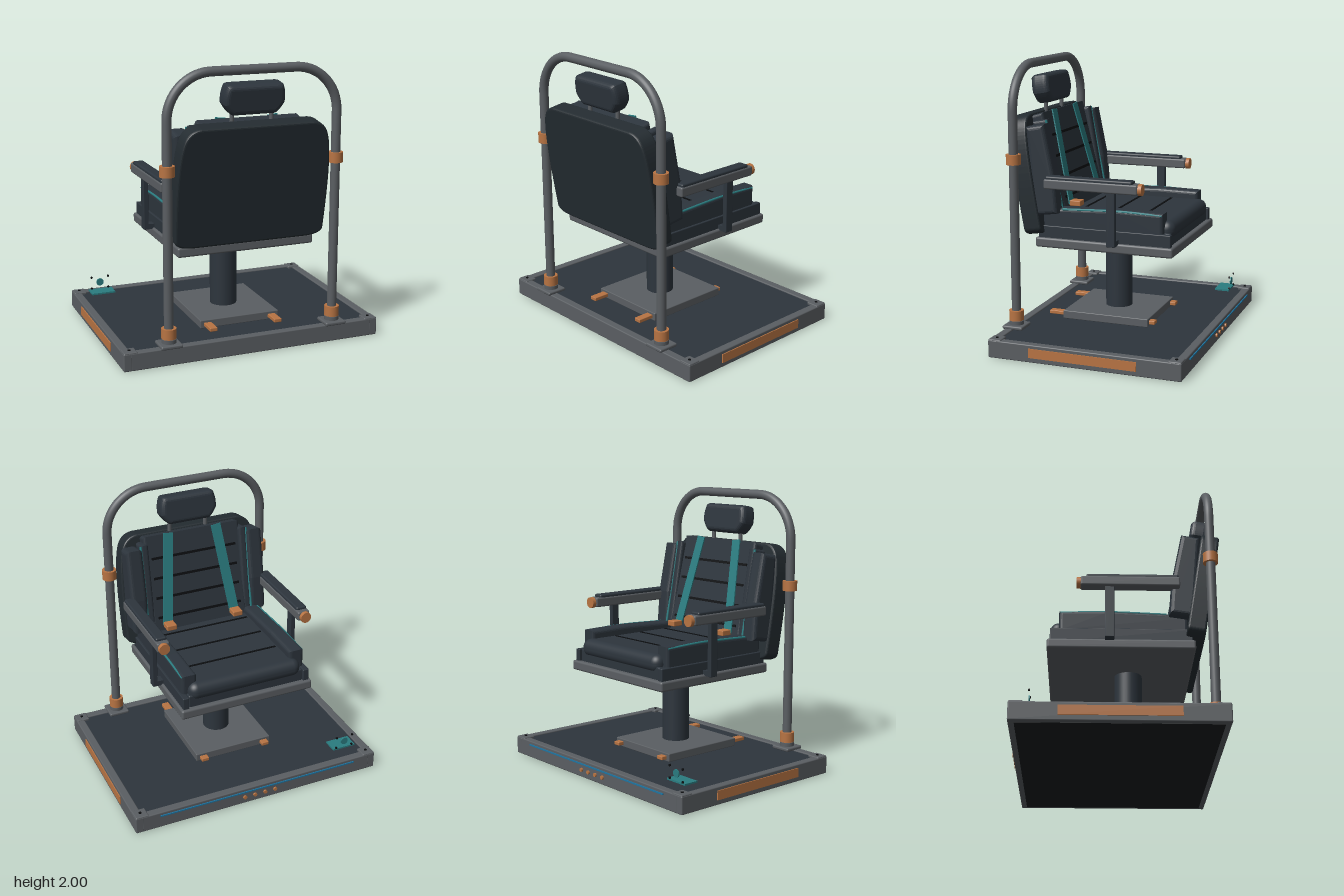
import * as THREE from 'three';
import { RoundedBoxGeometry } from 'three/addons/geometries/RoundedBoxGeometry.js';

const mat = (name, color, side = THREE.FrontSide) => {
  const m = new THREE.MeshStandardMaterial({ color, side });
  m.name = name;
  return m;
};

export function createModel() {
  const model = new THREE.Group();
  model.name = 'simulatorChair';

  const steel = mat('steelGrey', 0x5a5e62);
  const dark = mat('darkUpholstery', 0x2d353d);
  const shellMat = mat('shellDark', 0x242c31);
  const black = mat('black', 0x0c0e10);
  const under = mat('undersideBlack', 0x171c1f);
  const copper = mat('copper', 0xb87443);
  const teal = mat('teal', 0x2a7c80);
  const blue = mat('blueLight', 0x1f74a0);

  const add = (name, geo, m, x = 0, y = 0, z = 0, parent = model) => {
    const mesh = new THREE.Mesh(geo, m);
    mesh.name = name;
    mesh.position.set(x, y, z);
    parent.add(mesh);
    return mesh;
  };
  // box given by its limits on each axis, optionally rounded
  const box = (name, m, [x0, x1], [y0, y1], [z0, z1], r = 0, parent = model) => {
    const s = [x1 - x0, y1 - y0, z1 - z0];
    const geo = r ? new RoundedBoxGeometry(...s, 4, r) : new THREE.BoxGeometry(...s);
    return add(name, geo, m, (x0 + x1) / 2, (y0 + y1) / 2, (z0 + z1) / 2, parent);
  };
  const cyl = (name, m, r, h, x, y, z, alongZ = false) => {
    const geo = new THREE.CylinderGeometry(r, r, h, 32);
    if (alongZ) geo.rotateX(Math.PI / 2);
    return add(name, geo, m, x, y, z);
  };
  // side profile of [z, y] points stretched across a width in x
  const sideProfile = (points, width, bevel) => {
    const shape = new THREE.Shape(points.map(([z, y]) => new THREE.Vector2(z, y)));
    const depth = width - 2 * bevel;
    return new THREE.ExtrudeGeometry(shape, {
      depth, bevelSize: bevel, bevelThickness: bevel, bevelOffset: -bevel, bevelSegments: 4,
    }).translate(0, 0, -depth / 2).rotateY(-Math.PI / 2);
  };

  // base: four rails, deck and underside
  for (const s of [-1, 1]) {
    box('baseSideRail', steel, s > 0 ? [0.89, 0.95] : [-0.95, -0.89], [0, 0.125], [-0.7, 0.69], 0.008);
    box('baseEndRail', steel, [-0.9, 0.9], [0, 0.125], s > 0 ? [0.63, 0.69] : [-0.7, -0.64], 0.008);
    box('sideAccent', copper, [s * 0.953 - 0.004, s * 0.953 + 0.004], [0.035, 0.1], [-0.39, 0.385]);
    for (const z of [-0.652, 0.642]) {
      box('cornerPlate', steel, [s * 0.9 - 0.048, s * 0.9 + 0.048], [0.1, 0.132], [z - 0.046, z + 0.046], 0.008);
      cyl('cornerBolt', black, 0.01, 0.006, s * 0.9, 0.134, z);
    }
  }
  box('deck', dark, [-0.9, 0.9], [0.02, 0.115], [-0.65, 0.64]);
  box('underside', under, [-0.91, 0.91], [-0.002, 0.004], [-0.66, 0.65]);
  box('frontLightStrip', blue, [-0.77, 0.77], [0.093, 0.103], [-0.708, -0.7]);
  for (const x of [-0.12, -0.04, 0.04, 0.12]) cyl('frontButton', copper, 0.014, 0.016, x, 0.055, -0.704, true);

  // small control panel on the deck
  box('controlPlate', teal, [-0.845, -0.665], [0.147, 0.159], [-0.58, -0.47]);
  cyl('controlDial', teal, 0.028, 0.008, -0.755, 0.21, -0.577, true);
  for (const x of [-0.82, -0.69]) for (const y of [0.165, 0.252]) cyl('controlPin', black, 0.008, 0.01, x, y, -0.577, true);

  // pedestal
  box('pedestalPlate', steel, [-0.3, 0.3], [0.115, 0.175], [-0.245, 0.405], 0.006);
  cyl('pedestalColumn', dark, 0.098, 0.53, 0, 0.435, 0.08);
  for (const x of [-0.245, 0.245]) {
    box('rearTab', copper, [x - 0.028, x + 0.028], [0.13, 0.157], [0.4, 0.525], 0.005);
    box('frontTab', copper, [x - 0.028, x + 0.028], [0.13, 0.157], [-0.288, -0.24], 0.005);
  }

  // hoop with collars and feet
  const hoop = new THREE.CurvePath();
  const v = (x, y) => new THREE.Vector3(x, y, 0.63);
  const k = 0.552 * 0.31;
  hoop.add(new THREE.LineCurve3(v(-0.613, 0.13), v(-0.613, 1.657)));
  hoop.add(new THREE.CubicBezierCurve3(v(-0.613, 1.657), v(-0.613, 1.657 + k), v(-0.303 - k, 1.967), v(-0.303, 1.967)));
  hoop.add(new THREE.LineCurve3(v(-0.303, 1.967), v(0.303, 1.967)));
  hoop.add(new THREE.CubicBezierCurve3(v(0.303, 1.967), v(0.303 + k, 1.967), v(0.613, 1.657 + k), v(0.613, 1.657)));
  hoop.add(new THREE.LineCurve3(v(0.613, 1.657), v(0.613, 0.13)));
  add('hoop', new THREE.TubeGeometry(hoop, 160, 0.033, 20), steel);
  for (const x of [-0.613, 0.613]) {
    cyl('lowerCollar', copper, 0.052, 0.072, x, 0.212, 0.63);
    cyl('upperCollar', copper, 0.052, 0.072, x, 1.33, 0.63);
    cyl('hoopFlange', steel, 0.052, 0.03, x, 0.158, 0.63);
    box('hoopFoot', steel, [x - 0.077, x + 0.077], [0.12, 0.146], [0.555, 0.708], 0.01);
  }

  // seat
  box('seatPan', steel, [-0.505, 0.505], [0.692, 0.762], [-0.49, 0.525], 0.015);
  box('seatBody', dark, [-0.44, 0.44], [0.74, 0.85], [-0.455, 0.5], 0.01);
  box('seatCushion', dark, [-0.43, 0.43], [0.8, 0.93], [-0.472, 0.45], 0.06);
  for (const z of [-0.21, 0.03, 0.27]) box('cushionSeam', black, [-0.345, 0.345], [0.926, 0.934], [z - 0.008, z + 0.008]);
  for (const s of [-1, 1]) {
    const bolster = sideProfile([[-0.41, 0.82], [0.48, 0.82], [0.48, 0.96], [0.3, 0.978], [-0.1, 0.993], [-0.41, 0.988]], 0.115, 0.025);
    add('seatBolster', bolster, dark, s * 0.415);
    box('seatSidePanel', dark, [s * 0.465 - 0.022, s * 0.465 + 0.022], [0.735, 0.848], [-0.47, 0.505], 0.006);
    const piping = new THREE.CatmullRomCurve3([[-0.4, 0.972], [-0.1, 0.982], [0.33, 0.968]]
      .map(([z, y]) => new THREE.Vector3(s * 0.462, y, z)));
    add('seatPiping', new THREE.TubeGeometry(piping, 24, 0.009, 8), teal);

    // armrest
    box('armPost', dark, [s * 0.547 - 0.018, s * 0.547 + 0.018], [0.75, 1.14], [-0.095, -0.032], 0.005);
    box('armPostBracket', dark, [s * 0.51 - 0.03, s * 0.51 + 0.03], [0.752, 0.79], [-0.095, -0.032]);
    box('armBar', steel, [s * 0.542 - 0.046, s * 0.542 + 0.046], [1.13, 1.2], [-0.265, 0.42], 0.012);
    box('armPad', dark, [s * 0.542 - 0.04, s * 0.542 + 0.04], [1.185, 1.22], [-0.225, 0.41], 0.012);
    cyl('armTip', copper, 0.04, 0.028, s * 0.545, 1.163, -0.278, true);
  }

  // backrest shell, leaning back
  const outline = new THREE.Shape();
  outline.moveTo(-0.4, 0);
  outline.lineTo(0.4, 0);
  outline.quadraticCurveTo(0.545, 0, 0.548, 0.06);
  outline.bezierCurveTo(0.56, 0.4, 0.555, 0.65, 0.515, 0.76);
  outline.quadraticCurveTo(0.485, 0.84, 0.4, 0.848);
  outline.lineTo(-0.4, 0.848);
  outline.quadraticCurveTo(-0.485, 0.84, -0.515, 0.76);
  outline.bezierCurveTo(-0.555, 0.65, -0.56, 0.4, -0.548, 0.06);
  outline.quadraticCurveTo(-0.545, 0, -0.4, 0);
  const shellGeo = new THREE.ExtrudeGeometry(outline, {
    depth: 0.1, bevelSize: 0.015, bevelThickness: 0.015, bevelOffset: -0.015, bevelSegments: 3, curveSegments: 16,
  });
  add('backShell', shellGeo, shellMat, 0, 0.785, 0.472).rotation.x = 0.16;

  // back cushion and side wings
  add('backCushion', sideProfile([[0.325, 0.86], [0.5, 0.84], [0.62, 1.6], [0.512, 1.63]], 0.76, 0.02), dark);
  for (const s of [-1, 1]) {
    const wing = sideProfile([[0.52, 0.92], [0.345, 0.945], [0.365, 1.2], [0.44, 1.57], [0.575, 1.545]].reverse(), 0.125, 0.03);
    add('backWing', wing, dark, s * 0.475);
    const inner = sideProfile([[0.5, 0.93], [0.35, 0.95], [0.46, 1.59], [0.575, 1.57]].reverse(), 0.06, 0.02);
    add('innerWing', inner, dark, s * 0.39);
    const line = new THREE.LineCurve3(new THREE.Vector3(s * 0.418, 0.97, 0.352), new THREE.Vector3(s * 0.418, 1.585, 0.467));
    add('backPiping', new THREE.TubeGeometry(line, 4, 0.009, 8), teal);
  }

  // seams and straps lying on the back cushion
  const trim = new THREE.Group();
  trim.name = 'backTrim';
  trim.position.set(0, 0.95, 0.346);
  trim.rotation.x = 0.238;
  model.add(trim);
  for (const y of [0.08, 0.23, 0.38, 0.53]) box('backSeam', black, [-0.335, 0.335], [y - 0.009, y + 0.009], [-0.005, 0.003], 0, trim);
  for (const s of [-1, 1]) {
    const strap = box('strap', teal, [-0.038, 0.038], [-0.345, 0.345], [-0.008, 0.001], 0, trim);
    strap.position.set(s * 0.23, 0.36, -0.008);
    strap.rotation.z = s * 0.12;
    box('strapBuckle', copper, [s * 0.268 - 0.038, s * 0.268 + 0.038], [0.96, 1.0], [0.262, 0.345], 0.006);
    cyl('headrestPost', steel, 0.015, 0.13, s * 0.143, 1.64, 0.59);
  }

  // headrest: a rounded block narrowing at its top and bottom
  const head = new THREE.Shape();
  head.moveTo(-0.15, -0.105);
  head.lineTo(0.15, -0.105);
  head.quadraticCurveTo(0.175, -0.1, 0.218, -0.03);
  head.quadraticCurveTo(0.225, 0.04, 0.2, 0.095);
  head.quadraticCurveTo(0.19, 0.105, 0.16, 0.105);
  head.lineTo(-0.16, 0.105);
  head.quadraticCurveTo(-0.19, 0.105, -0.2, 0.095);
  head.quadraticCurveTo(-0.225, 0.04, -0.218, -0.03);
  head.quadraticCurveTo(-0.175, -0.1, -0.15, -0.105);
  const headGeo = new THREE.ExtrudeGeometry(head, {
    depth: 0.06, bevelSize: 0.035, bevelThickness: 0.038, bevelOffset: -0.035, bevelSegments: 5, curveSegments: 8,
  }).translate(0, 0, -0.03);
  add('headrest', headGeo, dark, 0, 1.775, 0.603).rotation.x = 0.16;

  return model;
}
